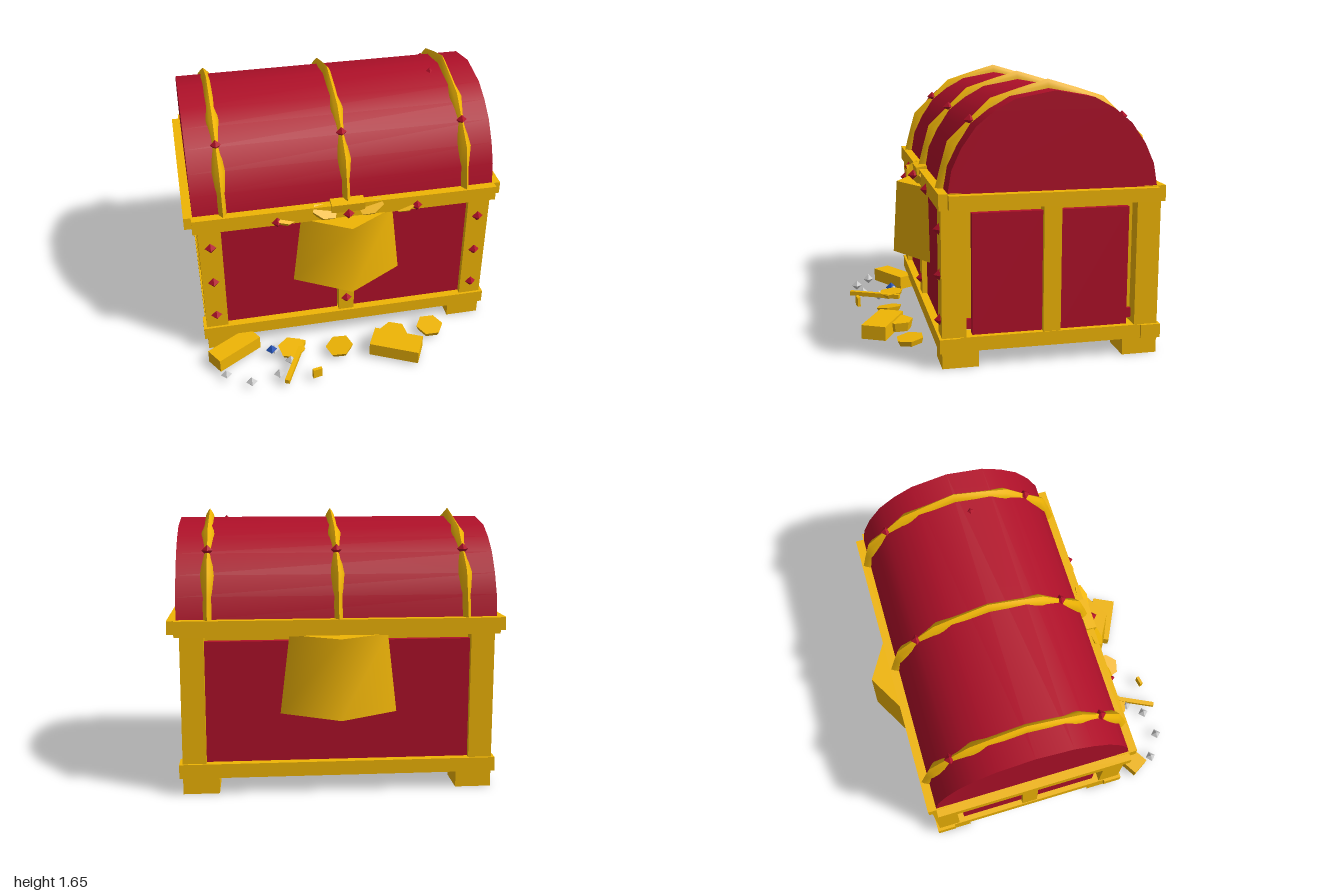
import * as THREE from 'three';
import { toCreasedNormals } from 'three/addons/utils/BufferGeometryUtils.js';

const gold = new THREE.MeshStandardMaterial({ color: 0xf0b504 });
const red = new THREE.MeshStandardMaterial({ color: 0xb01029 });
const gem = (color) => new THREE.MeshStandardMaterial({ color, flatShading: true });
const ruby = gem(0xb01029), silver = gem(0xdddddd), sapphire = gem(0x1f4fb0), chip = gem(0xf0b504);

function add(parent, name, geo, mat, x = 0, y = 0, z = 0, rx = 0, ry = 0, rz = 0) {
  const m = new THREE.Mesh(geo, mat);
  m.name = name;
  m.position.set(x, y, z);
  m.rotation.set(rx, ry, rz);
  parent.add(m);
  return m;
}

// Box given by its minimum and maximum on each axis
function box(parent, name, mat, x0, x1, y0, y1, z0, z1) {
  return add(parent, name, new THREE.BoxGeometry(x1 - x0, y1 - y0, z1 - z0), mat,
    (x0 + x1) / 2, (y0 + y1) / 2, (z0 + z1) / 2);
}

// Skin a row of equal cross-sections and cap both ends
function loft(rings, crease) {
  const pos = [];
  const tri = (a, b, c) => pos.push(...a, ...b, ...c);
  const n = rings[0].length;
  for (let i = 0; i < rings.length - 1; i++) {
    for (let j = 0; j < n; j++) {
      const k = (j + 1) % n;
      tri(rings[i][j], rings[i][k], rings[i + 1][k]);
      tri(rings[i][j], rings[i + 1][k], rings[i + 1][j]);
    }
  }
  const first = rings[0], last = rings[rings.length - 1];
  for (let j = 1; j < n - 1; j++) {
    tri(first[0], first[j + 1], first[j]);
    tri(last[0], last[j], last[j + 1]);
  }
  const geo = new THREE.BufferGeometry();
  geo.setAttribute('position', new THREE.Float32BufferAttribute(pos, 3));
  geo.computeVertexNormals();
  return toCreasedNormals(geo, crease);
}

function addGem(parent, mat, x, y, z, r = 0.036) {
  add(parent, 'gem', new THREE.OctahedronGeometry(r), mat, x, y, z);
}

// Flat six-sided splinter, lying in the horizontal plane before rotation
function shard(parent, x, y, z, r, h, rx, ry, rz, sz = 1) {
  const m = add(parent, 'shard', new THREE.CylinderGeometry(r, r * 0.85, h, 6), chip, x, y, z, rx, ry, rz);
  m.scale.z = sz;
}

function buildChest() {
  const chest = new THREE.Group();
  chest.name = 'chest';

  // Floor slab and the inner lining standing on it
  box(chest, 'floor', red, -0.86, 0.86, 0.21, 0.27, -0.58, 0.58);
  box(chest, 'lining', gold, -0.84, 0.84, 0.27, 0.96, -0.57, 0.57);

  for (const s of [-1, 1]) {
    const side = (name, mat, a, b, y0, y1, z0, z1) =>
      box(chest, name, mat, Math.min(s * a, s * b), Math.max(s * a, s * b), y0, y1, z0, z1);
    const face = (name, mat, x0, x1, y0, y1, a, b) =>
      box(chest, name, mat, x0, x1, y0, y1, Math.min(s * a, s * b), Math.max(s * a, s * b));

    // Base rails and rim, front and back
    face('baseRail', gold, -0.945, 0.945, 0.1, 0.185, 0.55, 0.672);
    face('rim', gold, -0.955, 0.955, 0.945, 1.04, 0.54, 0.672);
    // Base rails and rim, left and right
    side('sideBaseRail', gold, 0.8, 0.93, 0.1, 0.185, -0.57, 0.57);
    side('sideRim', gold, 0.82, 1.0, 0.955, 1.035, -0.62, 0.62);

    // Corner posts, feet and side panels
    for (const t of [-1, 1]) {
      const z = (a, b) => [Math.min(t * a, t * b), Math.max(t * a, t * b)];
      side('cornerPost', gold, 0.785, 0.925, 0.1, 0.95, ...z(0.512, 0.656));
      side('foot', gold, 0.71, 0.925, 0, 0.11, ...z(0.44, 0.656));
      side('sidePanel', red, 0.855, 0.895, 0.18, 0.91, ...z(0.05, 0.472));
    }
    side('sidePost', gold, 0.82, 0.925, 0.17, 0.955, -0.053, 0.053);

    // Heavy wedge-shaped clasp plates
    const ring = (y, w, base, tip) => [[-w, y, base], [0, y, tip], [w, y, base]];
    add(chest, s > 0 ? 'claspPlate' : 'backPlate',
      loft([ring(0.478, 0.345, 0.64, 0.836), ring(0.948, 0.29, 0.64, 0.806)], 1.2),
      gold, 0, 0, 0, 0, s > 0 ? 0 : Math.PI);

    // Front panels either side of the front post
    box(chest, 'frontPanel', red, s > 0 ? 0.058 : -0.79, s > 0 ? 0.79 : -0.058, 0.18, 0.91, 0.58, 0.622);
  }
  box(chest, 'backPanel', red, -0.79, 0.79, 0.18, 0.91, -0.622, -0.58);
  box(chest, 'frontPost', gold, -0.05, 0.05, 0.17, 0.95, 0.56, 0.655);

  // Barrel lid
  const half = [[0.62, 1.03], [0.595, 1.17], [0.54, 1.29], [0.455, 1.41], [0.35, 1.495], [0.23, 1.56]];
  const arc = [...half, [0, 1.602], ...half.map(([u, y]) => [-u, y]).reverse()];
  const lidShape = new THREE.Shape(arc.map(([u, y]) => new THREE.Vector2(u, y)));
  const lid = new THREE.ExtrudeGeometry(lidShape, { depth: 1.89, bevelEnabled: false });
  lid.translate(0, 0, -0.945).rotateY(-Math.PI / 2);
  add(chest, 'lid', toCreasedNormals(lid, 0.7), red);

  // Rounded straps with swelling width: offset, height, half width
  const knots = [[0.665, 1.035, 0.024], [0.63, 1.17, 0.026], [0.59, 1.31, 0.04], [0.465, 1.43, 0.024],
    [0.34, 1.55, 0.038], [0.17, 1.605, 0.026]];
  const path = [...knots, [0, 1.655, 0.024], ...knots.map(([u, y, w]) => [-u, y, w]).reverse()];
  const rings = path.map(([u, y, w]) => {
    const at = (x, k) => [x, 1.035 + (y - 1.035) * k, u * k];
    return [at(-w, 0.87), at(-w, 0.94), at(-w * 0.5, 0.975), at(0, 1), at(w * 0.5, 0.975), at(w, 0.94), at(w, 0.87)];
  });
  const strap = loft(rings, 1.0);
  for (const x of [-0.763, 0, 0.763]) {
    add(chest, 'strap', strap, gold, x);
    for (const s of [-1, 1]) addGem(chest, ruby, x, 1.428, s * 0.458, 0.034);
  }

  // Gems on the posts, the rim and the lid
  for (const x of [-0.855, 0.855]) for (const y of [0.28, 0.55, 0.82]) addGem(chest, ruby, x, y, 0.656);
  addGem(chest, ruby, 0, 0.28, 0.655);
  addGem(chest, ruby, 0, 0.985, 0.695);
  addGem(chest, ruby, -0.44, 0.968, 0.672);
  addGem(chest, ruby, 0.44, 0.972, 0.672);
  addGem(chest, ruby, 0.66, 1.58, 0.075, 0.03);

  // Broken latch on the rim
  add(chest, 'latchBlock', new THREE.BoxGeometry(0.21, 0.06, 0.07), gold, 0, 1.025, 0.65, 0.15);
  for (const s of [-1, 1]) {
    shard(chest, s * 0.15, 0.995, 0.665, 0.085, 0.04, 0.6, s * 0.3, s * 0.2, 0.6);
    shard(chest, s * 0.38, 0.965, 0.65, 0.075, 0.03, 0.5, 0.2, s * 0.3, 0.6);
  }
  return chest;
}

function buildDebris() {
  const debris = new THREE.Group();
  debris.name = 'debris';
  // Fallen blocks
  add(debris, 'brokenBlock', new THREE.BoxGeometry(0.325, 0.09, 0.125), gold, -0.765, 0.065, 0.63, 0, 0.55, 0);
  add(debris, 'brokenBlock', new THREE.BoxGeometry(0.32, 0.09, 0.16), gold, 0.272, 0.065, 0.805, 0, -0.46, 0);
  // Splinters
  add(debris, 'splinter', new THREE.BoxGeometry(0.37, 0.03, 0.03), gold, -0.395, 0.055, 0.805, 0, 1.12, 0);
  add(debris, 'splinter', new THREE.BoxGeometry(0.06, 0.065, 0.02), gold, -0.275, 0.055, 0.93, 0, 0.2, 0);
  // Six-sided shards
  shard(debris, -0.09, 0.05, 0.73, 0.09, 0.03, 0, 0.3, 0.18);
  shard(debris, 0.54, 0.05, 0.66, 0.09, 0.035, 0.1, 0.5, 0);
  shard(debris, 0.28, 0.065, 0.7, 0.09, 0.06, 0, 0.1, 0);
  shard(debris, -0.4, 0.055, 0.69, 0.09, 0.03, 0.1, 0.2, 0);
  // Scattered gems
  for (const [x, z] of [[-0.84, 0.82], [-0.69, 0.915], [-0.51, 0.88], [-0.51, 0.66], [-0.42, 0.775]]) {
    addGem(debris, silver, x, 0.042, z);
  }
  addGem(debris, sapphire, -0.53, 0.06, 0.675, 0.038);
  return debris;
}

export function createModel() {
  const model = new THREE.Group();
  model.name = 'treasureChest';
  const chest = buildChest();
  chest.position.z = -0.137;
  model.add(chest, buildDebris());
  return model;
}
